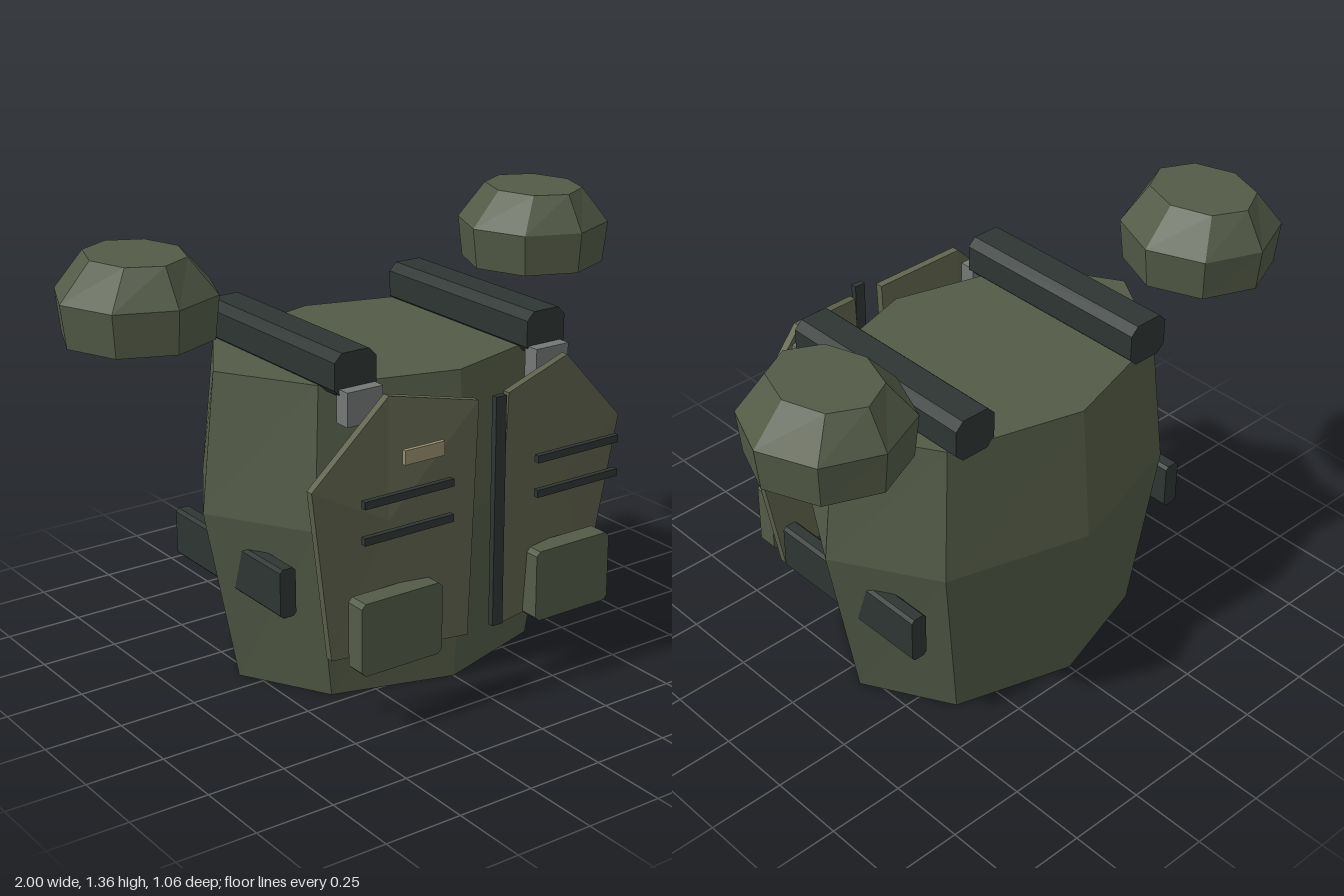
import * as THREE from 'three';

const mat = (color) => new THREE.MeshStandardMaterial({ color, flatShading: true });

const olive = mat(0x535b47);
const khaki = mat(0x5f624c);
const dark = mat(0x2e3532);
const metal = mat(0x747875);
const tan = mat(0x978f70);

function add(parent, name, geometry, material, x = 0, y = 0, z = 0) {
  const mesh = new THREE.Mesh(geometry, material);
  mesh.name = name;
  mesh.position.set(x, y, z);
  parent.add(mesh);
  return mesh;
}

// Closed eight-sided solid through rings [y, radiusX, radiusZ], listed from the top down
function ringSolid(rings) {
  const last = rings.length - 1;
  const geometry = new THREE.CylinderGeometry(1, 1, 1, 8, last);
  const pos = geometry.attributes.position;
  for (let i = 0; i < pos.count; i++) {
    const [y, rx, rz] = rings[Math.round((0.5 - pos.getY(i)) * last)];
    pos.setXYZ(i, pos.getX(i) * rx, y, pos.getZ(i) * rz);
  }
  geometry.computeVertexNormals();
  return geometry;
}

// Bar along z with its four long edges cut off
function cutBar(w, h, d, cut) {
  const a = w / 2, b = h / 2;
  const corners = [
    [a - cut, -b], [a, cut - b], [a, b - cut], [a - cut, b],
    [cut - a, b], [-a, b - cut], [-a, cut - b], [cut - a, -b],
  ];
  const shape = new THREE.Shape(corners.map(([x, y]) => new THREE.Vector2(x, y)));
  return new THREE.ExtrudeGeometry(shape, { depth: d, bevelEnabled: false }).translate(0, 0, -d / 2);
}

// Slightly domed chest plate: front fan, back fan and rim
function chestPlate(side) {
  const rim = [
    [0.055, 0.21, 0.455], [0.49, 0.21, 0.365], [0.575, 0.77, 0.4],
    [0.33, 1.02, 0.432], [0.055, 0.97, 0.495],
  ].map(([x, y, z]) => [side * x, y, z]);
  if (side < 0) rim.reverse();
  const centre = [side * 0.33, 0.64, 0.432];
  const behind = ([x, y, z]) => [x, y, z - 0.025];
  const points = [];
  rim.forEach((p, i) => {
    const q = rim[(i + 1) % rim.length];
    points.push(centre, p, q);
    points.push(behind(centre), behind(q), behind(p));
    points.push(p, behind(p), behind(q), p, behind(q), q);
  });
  const geometry = new THREE.BufferGeometry();
  geometry.setAttribute('position', new THREE.Float32BufferAttribute(points.flat(), 3));
  geometry.computeVertexNormals();
  return geometry;
}

export function createModel() {
  const model = new THREE.Group();
  model.name = 'armorVest';

  // Barrel-shaped torso
  add(model, 'torso', ringSolid([
    [1.01, 0.6, 0.412], [0.57, 0.65, 0.453], [0, 0.54, 0.395],
  ]), olive, 0, 0, -0.077);

  // Parts found on both sides
  for (const side of [1, -1]) {
    const half = new THREE.Group();
    half.name = side > 0 ? 'leftSide' : 'rightSide';
    model.add(half);

    add(half, 'shoulderPad', ringSolid([
      [1.355, 0.147, 0.18], [1.24, 0.25, 0.25], [1.105, 0.234, 0.237],
    ]), olive, side * 0.75, 0, -0.247);

    add(half, 'shoulderStrap', cutBar(0.146, 0.135, 0.71, 0.026), dark, side * 0.353, 1.058, -0.053);
    add(half, 'buckle', new THREE.BoxGeometry(0.125, 0.105, 0.055), metal, side * 0.348, 0.967, 0.315);
    add(half, 'sideBelt', cutBar(0.055, 0.156, 0.6, 0.01), dark, side * 0.547, 0.393, -0.075);

    add(half, 'chestPlate', chestPlate(side), khaki);
    add(half, 'pocket', cutBar(0.29, 0.23, 0.068, 0.014), olive, side * 0.325, 0.316, 0.459);
    for (const y of [0.745, 0.635]) {
      add(half, 'webbing', new THREE.BoxGeometry(0.315, 0.024, 0.018), dark, side * 0.315, y, 0.506);
    }
  }

  // Front closure and blank patch
  add(model, 'zipper', new THREE.BoxGeometry(0.038, 0.725, 0.02), dark, 0, 0.618, 0.52);
  add(model, 'patch', new THREE.BoxGeometry(0.14, 0.044, 0.014), tan, -0.27, 0.863, 0.518);

  return model;
}
